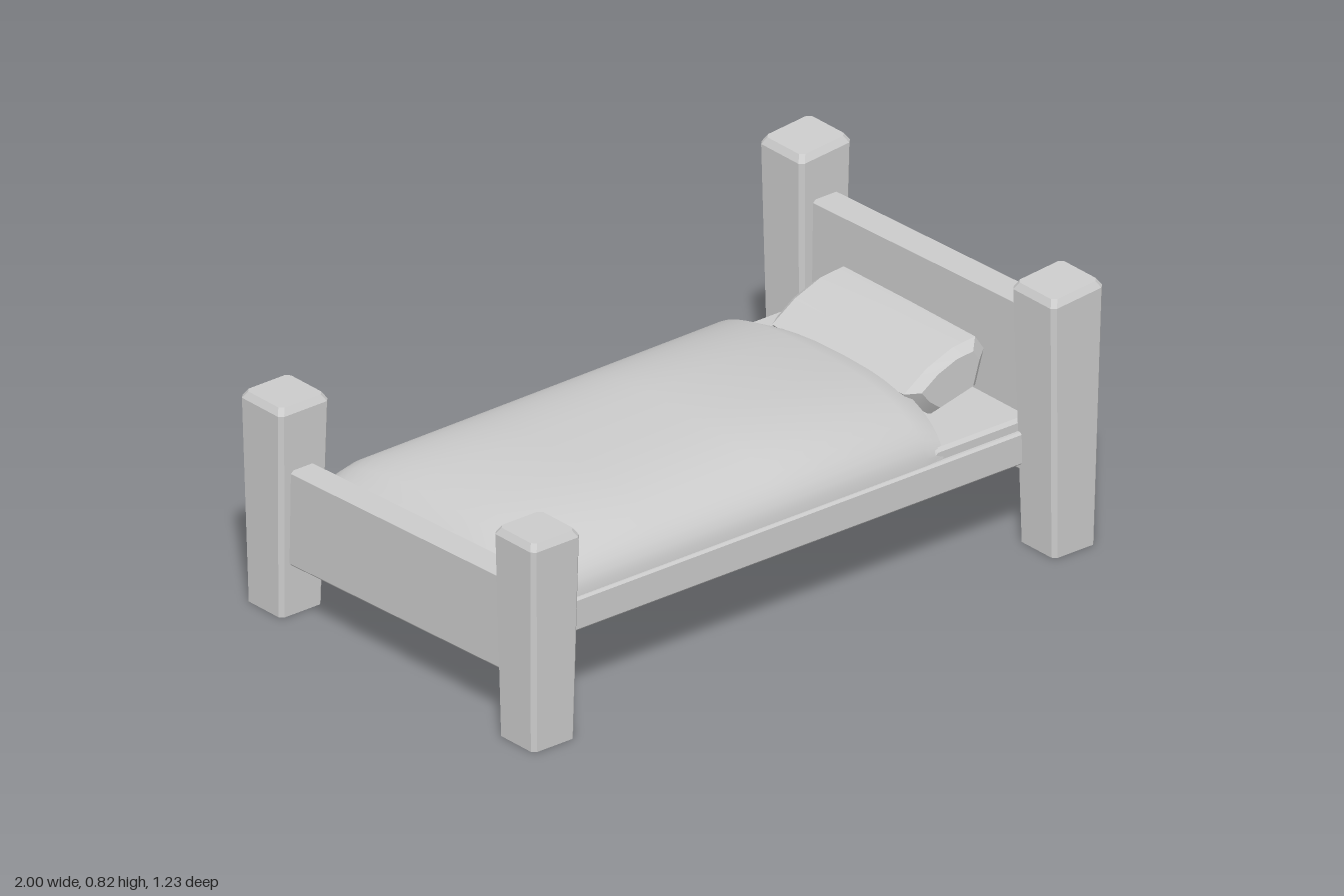
import * as THREE from 'three';
import { toCreasedNormals } from 'three/addons/utils/BufferGeometryUtils.js';

const material = new THREE.MeshStandardMaterial({ color: 0xcccccc });

// Skins a closed solid through rings of points, with a flat cap at both ends
function loft(name, rings, crease = 0.3) {
  const n = rings[0].length;
  const points = rings.flat();
  const faces = [];
  for (let i = 0; i < rings.length - 1; i++) {
    for (let j = 0; j < n; j++) {
      const a = i * n + j, b = i * n + (j + 1) % n;
      faces.push([a, b, b + n], [a, b + n, a + n]);
    }
  }
  const last = (rings.length - 1) * n;
  for (let j = 1; j < n - 1; j++) {
    faces.push([0, j + 1, j], [last, last + j, last + j + 1]);
  }
  // Turn the faces outward when the enclosed volume comes out negative
  let volume = 0;
  const cross = new THREE.Vector3();
  for (const [a, b, c] of faces) volume += points[a].dot(cross.crossVectors(points[b], points[c]));
  if (volume < 0) faces.forEach((f) => f.reverse());

  const geometry = new THREE.BufferGeometry().setFromPoints(points);
  geometry.setIndex(faces.flat());
  const mesh = new THREE.Mesh(toCreasedNormals(geometry, crease), material);
  mesh.name = name;
  return mesh;
}

// Rectangle with cut corners, as [u, v] pairs
function cutRectangle(hu, hv, c) {
  return [[hu, hv - c], [hu - c, hv], [c - hu, hv], [-hu, hv - c],
    [-hu, c - hv], [c - hu, -hv], [hu - c, -hv], [hu, c - hv]];
}

// Post that widens upward, with chamfered edges and an optionally sloping top
function post(name, x, z, height, bottom, top, slope) {
  const levels = [[0, bottom, 0], [height - 0.02, top, slope], [height, top - 0.012, slope]];
  return loft(name, levels.map(([y, half, tilt]) =>
    cutRectangle(half, half, 0.012).map(([u, v]) => new THREE.Vector3(x + u, y + tilt * u, z + v))));
}

// Beam with chamfered ends and edges, lying along z; skew raises its front end
function beam(name, x, halfX, y0, y1, halfZ, chamfer, skew) {
  const ends = [[-halfZ, chamfer], [-halfZ + chamfer, 0], [halfZ - chamfer, 0], [halfZ, chamfer]];
  return loft(name, ends.map(([z, inset]) =>
    cutRectangle(halfX - inset, (y1 - y0) / 2 - inset, chamfer * 0.7).map(([u, v]) =>
      new THREE.Vector3(x + u, (y0 + y1) / 2 + v + skew * z, z))));
}

// Domed cover: arched sections along x, its head edge bowing towards the pillow
function blanket() {
  const stations = [ // x, crown height, half width, bow
    [-0.89, 0.41, 0.445, 0], [-0.85, 0.437, 0.458, 0], [-0.81, 0.469, 0.462, 0],
    [-0.76, 0.489, 0.463, 0], [-0.4, 0.493, 0.463, 0], [0, 0.498, 0.463, 0],
    [0.5, 0.505, 0.463, 0], [0.565, 0.445, 0.46, 0.065], [0.575, 0.375, 0.455, 0.085],
  ];
  const base = 0.325, steps = 24;
  return loft('blanket', stations.map(([x, crown, half, bow]) => {
    const ring = [];
    for (let i = 0; i <= steps; i++) {
      const a = Math.PI * i / steps;
      const c = Math.cos(a);
      const s = Math.sign(c) * Math.abs(c) ** 0.7;
      const rise = Math.max(Math.sin(a), 0) ** 0.9;
      ring.push(new THREE.Vector3(x + bow * (1 - s * s), base + (crown - base) * rise, s * half));
    }
    return ring;
  }), 0.5);
}

// Pillow propped against the headboard, pinched at both ends
function pillow() {
  const profile = [[0.58, 0.45], [0.66, 0.503], [0.75, 0.537], [0.83, 0.545],
    [0.86, 0.5], [0.83, 0.4], [0.67, 0.362], [0.62, 0.4]];
  const stations = [[-0.302, 0.72], [-0.275, 1], [0, 1.01], [0.275, 1], [0.302, 0.72]];
  return loft('pillow', stations.map(([z, scale]) =>
    profile.map(([x, y]) => new THREE.Vector3(
      0.725 + (x - 0.725) * scale, 0.455 + (y - 0.455) * scale, z))), 0.45);
}

export function createModel() {
  const bed = new THREE.Group();
  bed.name = 'bed';

  // Four corner posts, the head pair taller
  bed.add(
    post('headPostFront', 0.908, 0.527, 0.785, 0.074, 0.09, 0.09),
    post('headPostBack', 0.908, -0.527, 0.817, 0.076, 0.09, 0.09),
    post('footPostFront', -0.912, 0.525, 0.625, 0.074, 0.085, 0),
    post('footPostBack', -0.912, -0.53, 0.63, 0.074, 0.087, 0),
  );

  // End boards, running slightly out of level
  bed.add(
    beam('headboard', 0.906, 0.045, 0.177, 0.682, 0.47, 0.012, 0.028),
    beam('footboard', -0.918, 0.042, 0.163, 0.45, 0.47, 0.012, 0.028),
  );

  // Bed frame with the sheet on top
  bed.add(
    beam('bedFrame', -0.005, 0.885, 0.235, 0.332, 0.473, 0.006, 0),
    beam('sheet', 0.7, 0.17, 0.32, 0.366, 0.458, 0.01, 0),
  );

  bed.add(blanket(), pillow());
  return bed;
}
